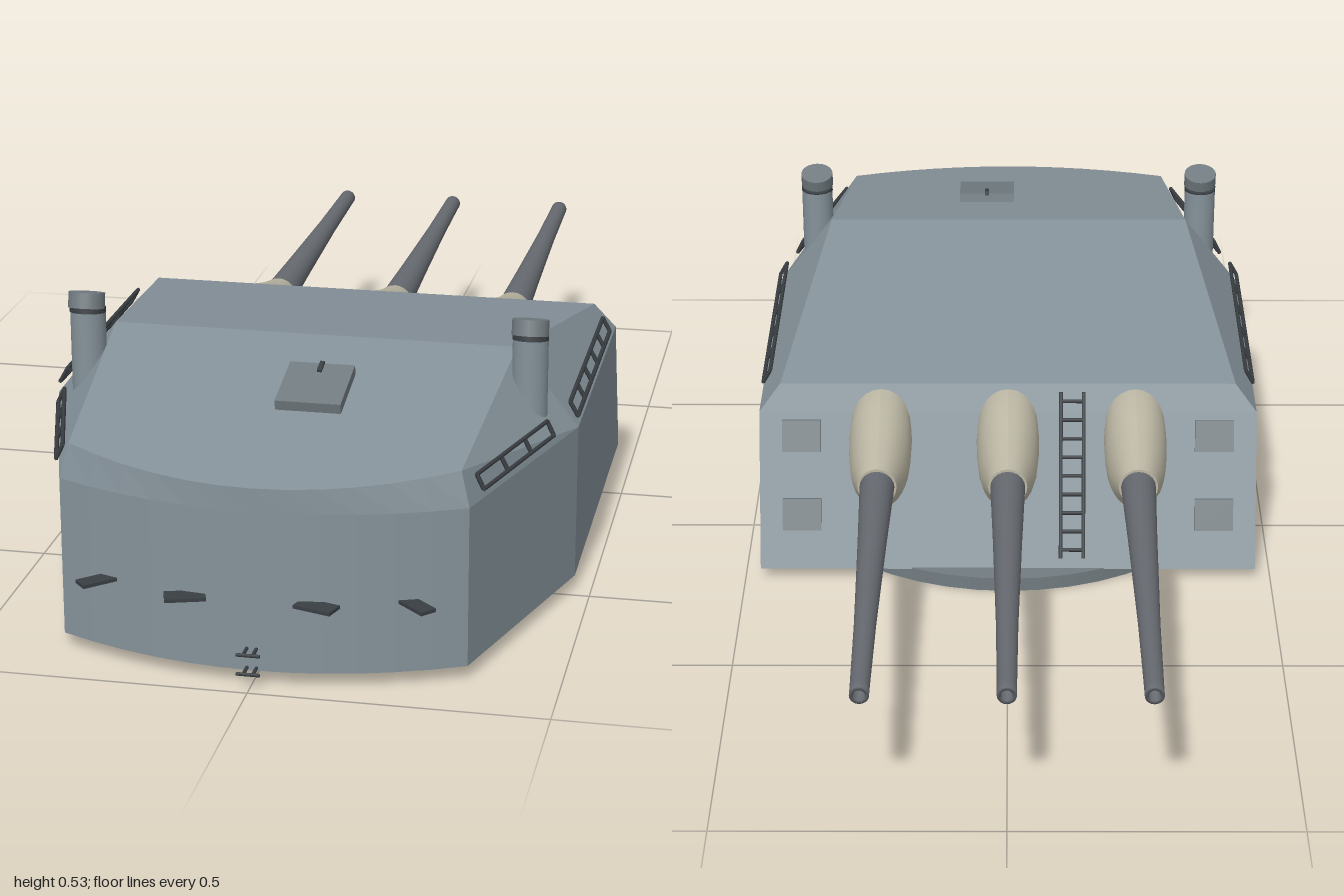
import * as THREE from 'three';

const paint = (color, extra = {}) => new THREE.MeshStandardMaterial({ color, ...extra });
const hull = paint(0x85929a, { flatShading: true });
const fitting = paint(0x727c81);
const post = paint(0x85929a);
const steel = paint(0x666a70);
const dark = paint(0x3a3f43);
const canvas = paint(0xbcb7a4);

function add(parent, name, geo, mat, pos = [0, 0, 0], rot = [0, 0, 0]) {
  const m = new THREE.Mesh(geo, mat);
  m.name = name;
  m.position.set(...pos);
  m.rotation.set(...rot);
  parent.add(m);
  return m;
}

const box = (w, h, d) => new THREE.BoxGeometry(w, h, d);

// Thin round bar between two points
function bar(parent, name, a, b, r, mat = dark) {
  const p = new THREE.Vector3(...a), q = new THREE.Vector3(...b);
  const m = add(parent, name, new THREE.CylinderGeometry(r, r, p.distanceTo(q), 6), mat);
  m.position.copy(p).lerp(q, 0.5);
  m.quaternion.setFromUnitVectors(new THREE.Vector3(0, 1, 0), q.sub(p).normalize());
}

// Armoured house: bottom, wall-top and roof outlines joined by flat plates
function houseGeometry() {
  const outline = [
    [[0.47, 0.025, -0.205], [0.47, 0.305, -0.095], [0.43, 0.355, -0.075]],
    [[0.47, 0.025, 0.47], [0.47, 0.305, 0.47], [0.36, 0.445, 0.47]],
  ];
  const N = 12;
  for (let i = 0; i <= N; i++) {
    const t = 1 - (2 * i) / N, x = 0.345 * t, z = 0.965 - 0.085 * t * t;
    const zr = z - 0.01 * t * t;
    outline.push([[x, 0.025, z], [x, 0.305, z], [0.33 * t, 0.445 - 0.2 * (zr - 0.47), zr]]);
  }
  for (const i of [1, 0]) outline.push(outline[i].map(([x, y, z]) => [-x, y, z]));

  const v = [], n = outline.length;
  const tri = (a, b, c) => v.push(...a, ...b, ...c);
  const quad = (a, b, c, d) => { tri(a, b, c); tri(a, c, d); };
  for (let i = 0; i < n; i++) {
    const p = outline[i], q = outline[(i + 1) % n];
    for (let k = 0; k < 2; k++) quad(p[k], p[k + 1], q[k + 1], q[k]);
  }
  const top = outline.map(o => o[2]), low = outline.map(o => o[0]);
  quad(top[0], top[n - 1], top[n - 2], top[1]);
  for (let i = 2; i < n - 2; i++) tri(top[1], top[i + 1], top[i]);
  for (let i = 1; i < n - 1; i++) tri(low[0], low[i], low[i + 1]);
  const g = new THREE.BufferGeometry();
  g.setAttribute('position', new THREE.Float32BufferAttribute(v, 3));
  g.computeVertexNormals();
  return g;
}

// Gun cover: cylinder rows reshaped to elliptical sections [z, low y, high y, half width]
function coverGeometry() {
  const rows = [
    [-0.06, 0.26, 0.345, 0.05], [-0.09, 0.22, 0.345, 0.056], [-0.13, 0.188, 0.338, 0.059],
    [-0.165, 0.17, 0.329, 0.058], [-0.2, 0.165, 0.319, 0.055], [-0.235, 0.177, 0.31, 0.05],
    [-0.27, 0.202, 0.302, 0.042], [-0.3, 0.222, 0.296, 0.036],
  ];
  const g = new THREE.CylinderGeometry(1, 1, 1, 24, rows.length - 1);
  const p = g.attributes.position;
  for (let i = 0; i < p.count; i++) {
    const [z, lo, hi, w] = rows[Math.round((p.getY(i) + 0.5) * (rows.length - 1))];
    p.setXYZ(i, p.getX(i) * w, (lo + hi) / 2 + p.getZ(i) * (hi - lo) / 2, z);
  }
  g.computeVertexNormals();
  return g;
}

// Two-bar rail with posts; the top bar leans inward by lean
function rail(parent, a, b, lean, posts) {
  const up = p => [p[0] - lean, p[1] + 0.025, p[2]];
  bar(parent, 'railLowerBar', a, b, 0.004);
  bar(parent, 'railUpperBar', up(a), up(b), 0.004);
  for (let i = 0; i < posts; i++) {
    const p = a.map((c, k) => c + (b[k] - c) * i / (posts - 1));
    bar(parent, 'railPost', p, up(p), 0.004);
  }
}

export function createModel() {
  const model = new THREE.Group();
  model.name = 'gunTurret';

  add(model, 'baseRing', new THREE.CylinderGeometry(0.447, 0.447, 0.027, 48), fitting, [0, 0.0135, 0.203]);
  add(model, 'armouredHouse', houseGeometry(), hull);

  // Three guns with covers
  const cover = coverGeometry();
  const barrelProfile = [[0, 0], [0.034, 0], [0.032, 0.12], [0.026, 0.32], [0.019, 0.6], [0.0165, 0.8],
    [0.0165, 0.82], [0.01, 0.82], [0.01, 0.79], [0, 0.79]];
  const barrel = new THREE.LatheGeometry(barrelProfile.map(p => new THREE.Vector2(...p)), 20);
  for (const x of [-0.24, 0, 0.24]) {
    const gun = new THREE.Group();
    gun.name = 'gun';
    gun.position.x = x;
    add(gun, 'barrel', barrel, steel, [0, 0.257, -0.18], [-Math.PI / 2 + 0.018, 0, 0]);
    add(gun, 'gunCover', cover, canvas);
    model.add(gun);
  }

  // Sloping face: ports and ladder
  const tilt = Math.atan(0.11 / 0.28);
  const faceZ = y => -0.205 + (y - 0.025) * 0.393;
  for (const x of [-0.39, 0.39])
    for (const y of [0.125, 0.265])
      add(model, 'facePort', box(0.073, 0.06, 0.016), fitting, [x, y, faceZ(y) - 0.005], [tilt, 0, 0]);
  for (const x of [-0.143, -0.1])
    bar(model, 'ladderSide', [x, 0.05, faceZ(0.05) - 0.012], [x, 0.345, faceZ(0.345) - 0.012], 0.004);
  for (let i = 0; i < 9; i++) {
    const y = 0.065 + i * 0.033;
    bar(model, 'ladderRung', [-0.143, y, faceZ(y) - 0.012], [-0.1, y, faceZ(y) - 0.012], 0.0035);
  }

  // Mirrored rails and sights
  for (const s of [1, -1]) {
    const side = new THREE.Group();
    side.name = s > 0 ? 'leftFittings' : 'rightFittings';
    rail(side, [s * 0.468, 0.324, -0.01], [s * 0.468, 0.324, 0.465], s * 0.014, 6);
    rail(side, [s * 0.44, 0.324, 0.57], [s * 0.362, 0.324, 0.84], s * 0.012, 4);
    add(side, 'sightPost', new THREE.CylinderGeometry(0.031, 0.031, 0.16, 20), post, [s * 0.392, 0.405, 0.532]);
    add(side, 'sightCollar', new THREE.CylinderGeometry(0.0315, 0.0315, 0.01, 20), dark, [s * 0.392, 0.487, 0.533], [-0.15, 0, 0]);
    add(side, 'sightHead', new THREE.CylinderGeometry(0.032, 0.032, 0.028, 20), fitting, [s * 0.392, 0.505, 0.538], [-0.25, 0, 0]);

    // Plates on the curved wall
    add(side, 'wallPlate', box(0.068, 0.006, 0.035), dark, [s * 0.11, 0.15, 0.97], [0, -s * 0.3, 0]);
    add(side, 'wallPlate', box(0.062, 0.006, 0.03), dark, [s * 0.27, 0.15, 0.935], [0, -s * 0.75, 0]);
    model.add(side);
  }

  // Roof hatch
  add(model, 'roofHatch', box(0.113, 0.018, 0.127), fitting, [0.045, 0.418, 0.668], [0.22, 0, 0]);
  add(model, 'hatchHandle', box(0.008, 0.008, 0.03), dark, [0.045, 0.438, 0.622], [0.22, 0, 0]);

  // Step irons low on the curved wall
  for (const y of [0.03, 0.064]) {
    bar(model, 'stepIron', [-0.02, y, 0.993], [0.02, y, 0.993], 0.003);
    for (const x of [-0.008, 0.008])
      bar(model, 'stepBracket', [x, y, 0.95], [x, y, 0.993], 0.003);
  }
  return model;
}
